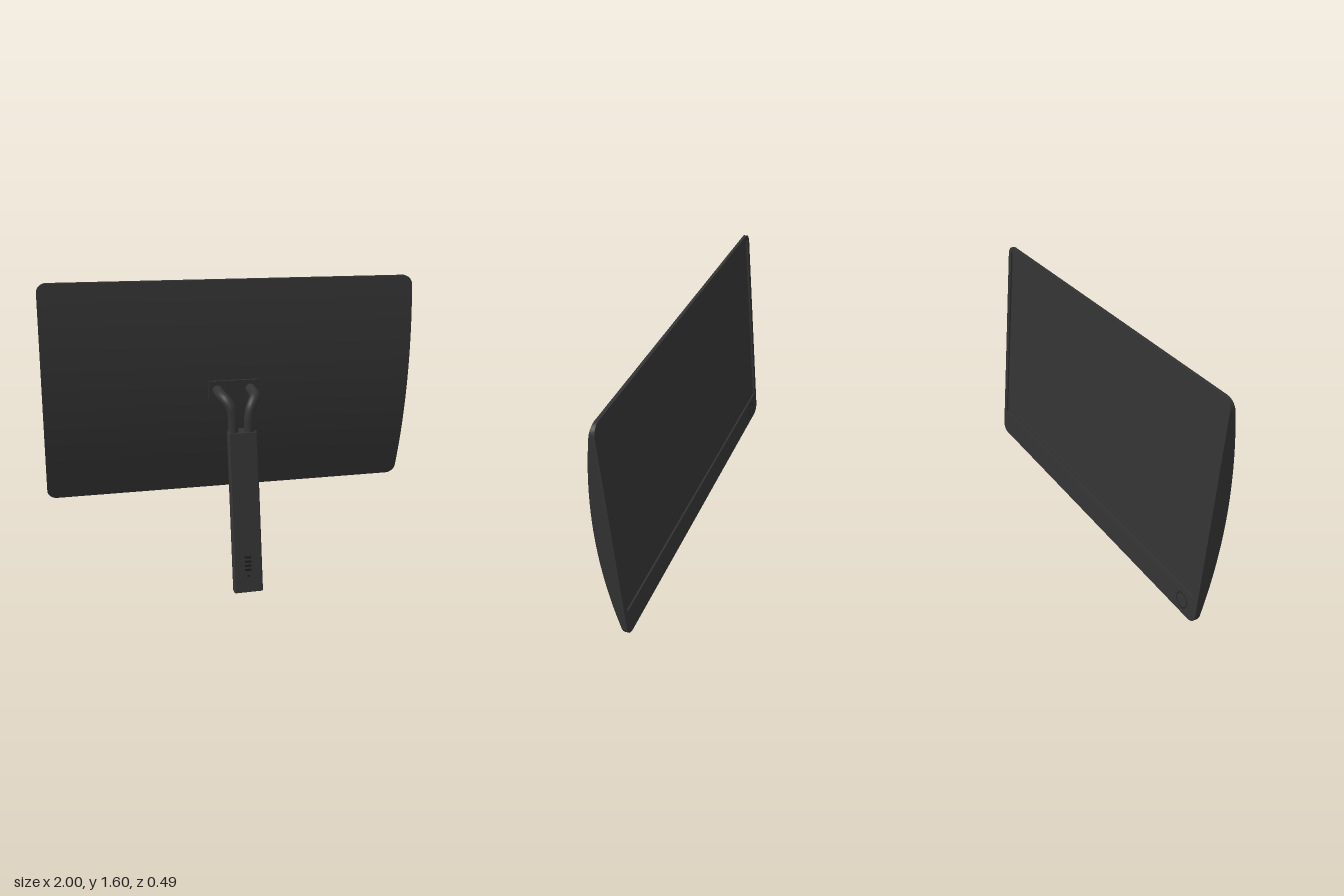
import * as THREE from 'three';
import { toCreasedNormals } from 'three/addons/utils/BufferGeometryUtils.js';

const HALF_W = 1, HALF_H = 0.583, CORNER = 0.05, FRAME = 0.01;

const shell = new THREE.MeshStandardMaterial({ color: 0x333333 });
shell.name = 'charcoal shell';
const dark = new THREE.MeshStandardMaterial({ color: 0x1a1a1a });
dark.name = 'dark detail';

function add(parent, name, geometry, material = shell) {
  const mesh = new THREE.Mesh(geometry, material);
  mesh.name = name;
  parent.add(mesh);
  return mesh;
}

function roundedRect(w, h, r) {
  const s = new THREE.Shape();
  s.absarc(w - r, h - r, r, 0, Math.PI / 2);
  s.absarc(-w + r, h - r, r, Math.PI / 2, Math.PI);
  s.absarc(-w + r, -h + r, r, Math.PI, Math.PI * 1.5);
  s.absarc(w - r, -h + r, r, Math.PI * 1.5, Math.PI * 2);
  s.closePath();
  return s;
}

// Housing: flat on the screen side, bowed on the other, stacked from four-point rows
function housingGeometry() {
  const rows = [];
  const steps = 8, middle = 24;
  for (let i = 0; i <= steps; i++) {
    const a = (i / steps) * Math.PI / 2;
    rows.push([-HALF_H + CORNER * (1 - Math.cos(a)), HALF_W - CORNER * (1 - Math.sin(a))]);
  }
  for (let i = 1; i < middle; i++) {
    rows.push([(HALF_H - CORNER) * (2 * i / middle - 1), HALF_W]);
  }
  for (let i = steps; i >= 0; i--) rows.push([-rows[i][0], rows[i][1]]);

  const pos = [], idx = [];
  rows.forEach(([y, w], i) => {
    const t = 0.017 + 0.067 * (1 - (y / HALF_H) ** 2);
    pos.push(-w, y, FRAME, w, y, FRAME, w, y, t, -w, y, t);
    if (i === 0) return;
    for (let k = 0; k < 4; k++) {
      const p1 = i * 4 + k, q1 = i * 4 + (k + 1) % 4;
      idx.push(p1 - 4, p1, q1, p1 - 4, q1, q1 - 4);
    }
  });
  const e = (rows.length - 1) * 4;
  idx.push(0, 1, 2, 0, 2, 3, e, e + 2, e + 1, e, e + 3, e + 2);
  const g = new THREE.BufferGeometry();
  g.setAttribute('position', new THREE.Float32BufferAttribute(pos, 3));
  g.setIndex(idx);
  return toCreasedNormals(g, 0.5);
}

function createDisplay() {
  const display = new THREE.Group();
  display.name = 'display';
  add(display, 'housing', housingGeometry());

  // Raised bezel with a deep chin under the screen
  const x = 0.97, top = HALF_H - 0.03, bottom = -HALF_H + 0.135;
  const outline = roundedRect(HALF_W, HALF_H, CORNER);
  const hole = new THREE.Path();
  hole.moveTo(-x, bottom).lineTo(-x, top).lineTo(x, top).lineTo(x, bottom).closePath();
  outline.holes.push(hole);
  const bezel = new THREE.ExtrudeGeometry(outline, { depth: FRAME, bevelEnabled: false, curveSegments: 8 });
  add(display, 'bezel', toCreasedNormals(bezel, 0.5));

  // Recessed screen
  add(display, 'screen', new THREE.BoxGeometry(2 * x, top - bottom, 0.002))
    .position.set(0, (top + bottom) / 2, FRAME);

  // Round power button on the chin
  const button = add(display, 'powerButtonRing', new THREE.RingGeometry(0.037, 0.041, 40), dark);
  button.rotation.y = Math.PI;
  button.position.set(-0.89, -HALF_H + 0.067, -0.001);

  // Mounting plate
  add(display, 'mountPlate', new THREE.BoxGeometry(0.274, 0.118, 0.02)).position.set(0, 0, 0.084);

  display.position.set(0, 1.023, -0.185);
  display.rotation.x = 0.1065;
  return display;
}

function createStand() {
  const stand = new THREE.Group();
  stand.name = 'stand';
  const height = 0.832, r = 0.077, depth = 0.11, lean = 0.137;

  // D-shaped column: flat front, round back, leaning by a shear
  const d = new THREE.Shape();
  d.moveTo(-r + 0.006, -depth).lineTo(r - 0.006, -depth).lineTo(r, -depth + 0.006).lineTo(r, -r);
  d.absarc(0, -r, r, 0, Math.PI);
  d.lineTo(-r, -depth + 0.006);
  d.closePath();
  const g = new THREE.ExtrudeGeometry(d, { depth: height, bevelEnabled: false, curveSegments: 24 });
  g.rotateX(-Math.PI / 2);
  const p = g.attributes.position;
  for (let i = 0; i < p.count; i++) p.setZ(i, p.getZ(i) + lean * (1 - p.getY(i) / height));
  add(stand, 'column', toCreasedNormals(g, 0.5));

  // Small sockets on the column front
  const tilt = -Math.atan(lean / height);
  const place = (mesh, y) => {
    mesh.position.set(0, y, depth + lean * (1 - y / height));
    mesh.rotation.x = tilt;
  };
  for (const y of [0.184, 0.162, 0.14, 0.118]) {
    place(add(stand, 'socket', new THREE.BoxGeometry(0.034, 0.011, 0.003), dark), y);
  }
  place(add(stand, 'indicator', new THREE.BoxGeometry(0.011, 0.011, 0.003), dark), 0.085);

  // Pair of bent arms from the column to the mounting plate
  for (const side of [1, -1]) {
    const path = new THREE.CatmullRomCurve3([
      [0.043, 0.8, 0.072], [0.043, 0.86, 0.072], [0.044, 0.91, 0.072], [0.055, 0.962, 0.067],
      [0.075, 0.996, 0.045], [0.088, 1.01, 0.01], [0.09, 1.015, -0.03], [0.09, 1.022, -0.1],
    ].map(([x, y, z]) => new THREE.Vector3(side * x, y, z)));
    add(stand, side > 0 ? 'leftArm' : 'rightArm', new THREE.TubeGeometry(path, 48, 0.028, 20));
  }
  return stand;
}

export function createModel() {
  const model = new THREE.Group();
  model.name = 'monitor';
  model.add(createDisplay(), createStand());
  return model;
}
